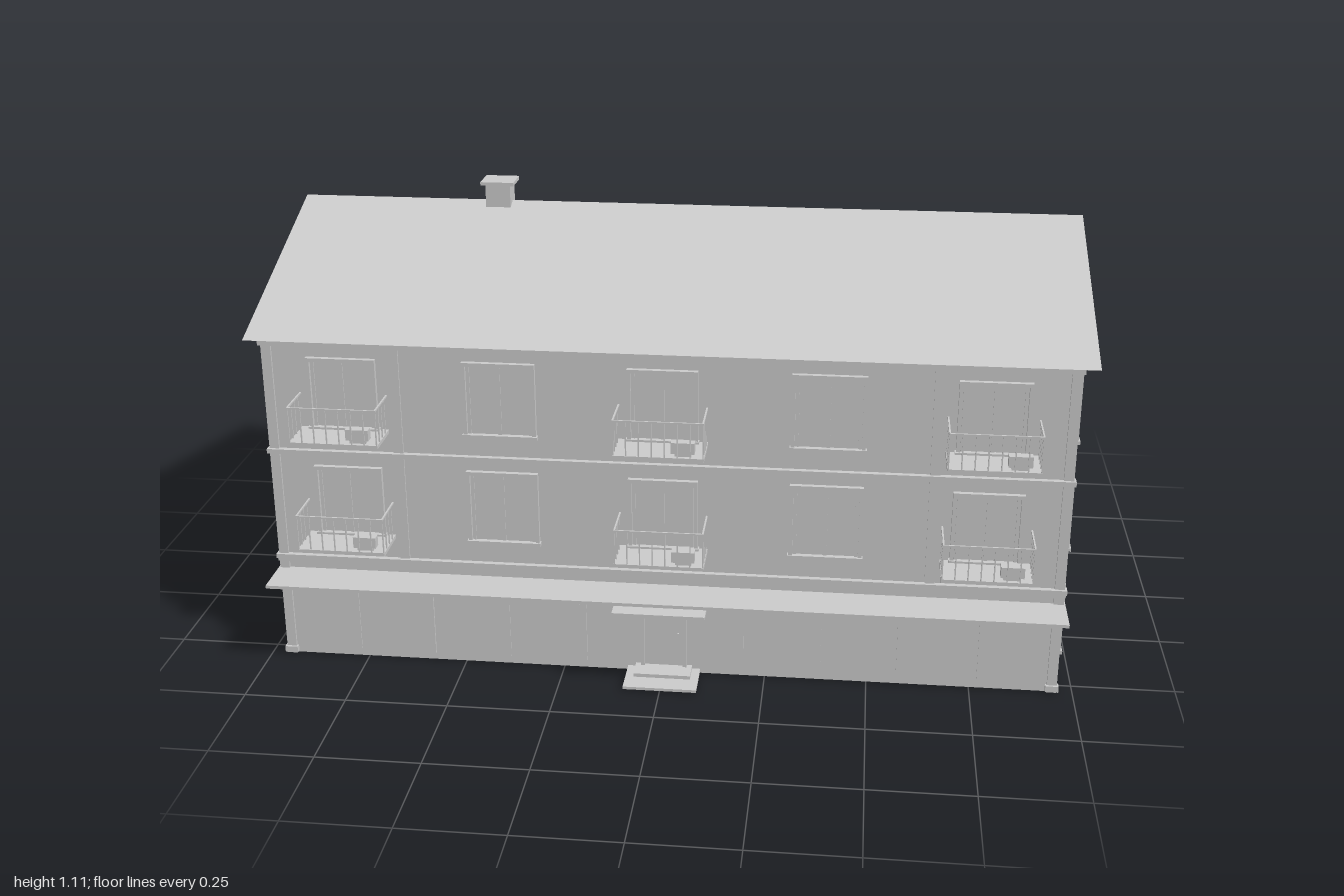
import * as THREE from 'three';

const grey = new THREE.MeshStandardMaterial({ color: 0xcccccc });
grey.name = 'plain grey';

// Box given by its minimum and maximum corners
function box(parent, name, x0, x1, y0, y1, z0, z1) {
  const mesh = new THREE.Mesh(new THREE.BoxGeometry(x1 - x0, y1 - y0, z1 - z0), grey);
  mesh.position.set((x0 + x1) / 2, (y0 + y1) / 2, (z0 + z1) / 2);
  mesh.name = name;
  parent.add(mesh);
  return mesh;
}

function group(parent, name, x = 0, y = 0, z = 0, turn = 0) {
  const g = new THREE.Group();
  g.name = name;
  g.position.set(x, y, z);
  g.rotation.y = turn;
  parent.add(g);
  return g;
}

// Framed double casement, standing on the plane z = 0
function addWindow(parent, x, y, depth, w = 0.175, h = 0.19) {
  const g = group(parent, 'window', x, y, 0);
  const t = 0.009;
  box(g, 'glass', -w / 2, w / 2, 0, h, 0, 0.003);
  for (const s of [-1, 1]) {
    const c = s * (w / 2 - t / 2);
    box(g, 'frameSide', c - t / 2, c + t / 2, 0, h, 0, depth);
    const l = s * (w / 2 - 0.014);
    box(g, 'sashSide', l - 0.004, l + 0.004, t, h - t, 0, depth * 0.5);
  }
  box(g, 'frameTop', -w / 2, w / 2, h - t, h, 0, depth);
  box(g, 'sill', -w / 2 - 0.003, w / 2 + 0.003, 0, t, 0, depth + 0.004);
  box(g, 'mullion', -0.004, 0.004, t, h - t, 0, depth * 0.5);
}

// Balcony slab, open railing and a small corner box
function addBalcony(parent, x, y, depth) {
  const g = group(parent, 'balcony', x, y, 0);
  const w = 0.107, r = 0.0015;
  box(g, 'slab', -w, w, 0, 0.009, 0, depth);
  box(g, 'frontHandrail', -w, w, 0.093, 0.097, depth - 0.004, depth);
  for (const s of [-1, 1]) {
    const c = s * (w - 0.002);
    box(g, 'sideHandrail', c - 0.002, c + 0.002, 0.093, 0.097, 0, depth);
    for (let i = 1; i < 4; i++) {
      const z = (depth - 0.002) * i / 4;
      box(g, 'sideBaluster', c - r, c + r, 0.009, 0.094, z - r, z + r);
    }
  }
  for (let i = 0; i <= 7; i++) {
    const bx = (w - 0.002) * (i / 3.5 - 1);
    box(g, 'baluster', bx - r, bx + r, 0.009, 0.094, depth - 0.0035, depth - 0.0005);
  }
  box(g, 'cornerBox', 0.03, 0.085, 0.018, 0.045, depth - 0.026, depth - 0.004);
  box(g, 'cornerBoxFoot', 0.038, 0.077, 0.009, 0.018, depth - 0.02, depth - 0.01);
}

// Bands, pilasters, windows and balconies shared by the two long walls
function addLongWall(parent, name, z, turn, depth, withGroundWindows) {
  const g = group(parent, name, 0, 0, z, turn);
  for (const y of [0.268, 0.55, 0.828]) box(g, 'band', -0.967, 0.967, y, y + 0.012, -0.01, 0.013);
  box(g, 'lowerBandTrim', -0.965, 0.965, 0.258, 0.268, -0.005, 0.006);
  for (const s of [-1, 1]) {
    const c = s * 0.95;
    box(g, 'cornerPilaster', c - 0.012, c + 0.012, 0, 0.828, -0.005, 0.006);
    box(g, 'pilasterBase', c - 0.016, c + 0.016, 0.004, 0.02, -0.005, 0.012);
    const b = s * 0.642;
    box(g, 'bayPilaster', b - 0.012, b + 0.012, withGroundWindows ? 0 : 0.28, 0.828, -0.005, 0.005);
  }
  for (const y of [0.333, 0.612]) {
    for (const x of [-0.39, 0.39]) addWindow(g, x, y, 0.012);
    for (const x of [-0.77, 0, 0.77]) {
      addWindow(g, x, y + 0.005, 0.012, 0.168, 0.183);
      addBalcony(g, x, y, depth);
    }
  }
  if (withGroundWindows) for (const x of [-0.77, -0.39, 0, 0.39, 0.77]) addWindow(g, x, 0.05, 0.012);
  return g;
}

export function createModel() {
  const model = new THREE.Group();
  model.name = 'apartmentBlock';

  box(model, 'walls', -0.962, 0.962, 0, 0.842, -0.543, 0.53);

  // Gabled roof as one closed prism along x
  const gable = new THREE.Shape([
    new THREE.Vector2(-0.55, 0.842),
    new THREE.Vector2(0.563, 0.842),
    new THREE.Vector2(0.007, 1.055),
  ]);
  const roof = new THREE.Mesh(new THREE.ExtrudeGeometry(gable, { depth: 2, bevelEnabled: false }), grey);
  roof.name = 'roof';
  roof.rotation.y = Math.PI / 2;
  roof.position.x = -1;
  model.add(roof);

  box(model, 'chimney', -0.517, -0.453, 1.02, 1.102, -0.034, 0.024);
  box(model, 'chimneyCap', -0.528, -0.442, 1.101, 1.11, -0.045, 0.033);

  const front = addLongWall(model, 'frontWall', 0.53, 0, 0.105, false);
  addLongWall(model, 'backWall', -0.543, Math.PI, 0.112, true);

  // Gable end windows
  for (const s of [-1, 1]) {
    const side = group(model, s > 0 ? 'leftWall' : 'rightWall', s * 0.962, 0, 0, s * Math.PI / 2);
    for (const z of [0.343, -0.008, -0.358])
      for (const y of [0.05, 0.332, 0.612]) addWindow(side, -s * z, y, 0.016);
  }

  // Shop front on the ground floor
  for (const x of [-0.58, -0.195, 0.195, 0.575]) {
    box(front, 'shopPost', x - 0.003, x + 0.003, 0.02, 0.235, 0, 0.006);
    box(front, 'canopyRib', x - 0.002, x + 0.002, 0.225, 0.233, 0, 0.1);
  }
  for (const x of [-0.77, -0.387, 0.385, 0.77])
    box(front, 'shopMullion', x - 0.002, x + 0.002, 0.02, 0.235, 0, 0.003);
  box(front, 'canopy', -0.966, 0.966, 0.232, 0.24, -0.01, 0.107);
  box(front, 'doorCanopy', -0.112, 0.112, 0.212, 0.22, 0, 0.122);

  // Entrance door and steps
  box(front, 'door', -0.05, 0.05, 0.02, 0.19, 0, 0.004);
  for (const s of [-1, 1])
    box(front, 'doorJamb', s * 0.052 - 0.005, s * 0.052 + 0.005, 0.015, 0.197, 0, 0.012);
  box(front, 'doorHead', -0.057, 0.057, 0.188, 0.197, 0, 0.012);
  box(front, 'doorHandle', 0.034, 0.038, 0.095, 0.11, 0.004, 0.009);
  box(front, 'upperStep', -0.07, 0.07, 0.011, 0.02, 0, 0.055);
  box(front, 'lowerStep', -0.09, 0.09, 0.004, 0.011, 0, 0.105);
  return model;
}
